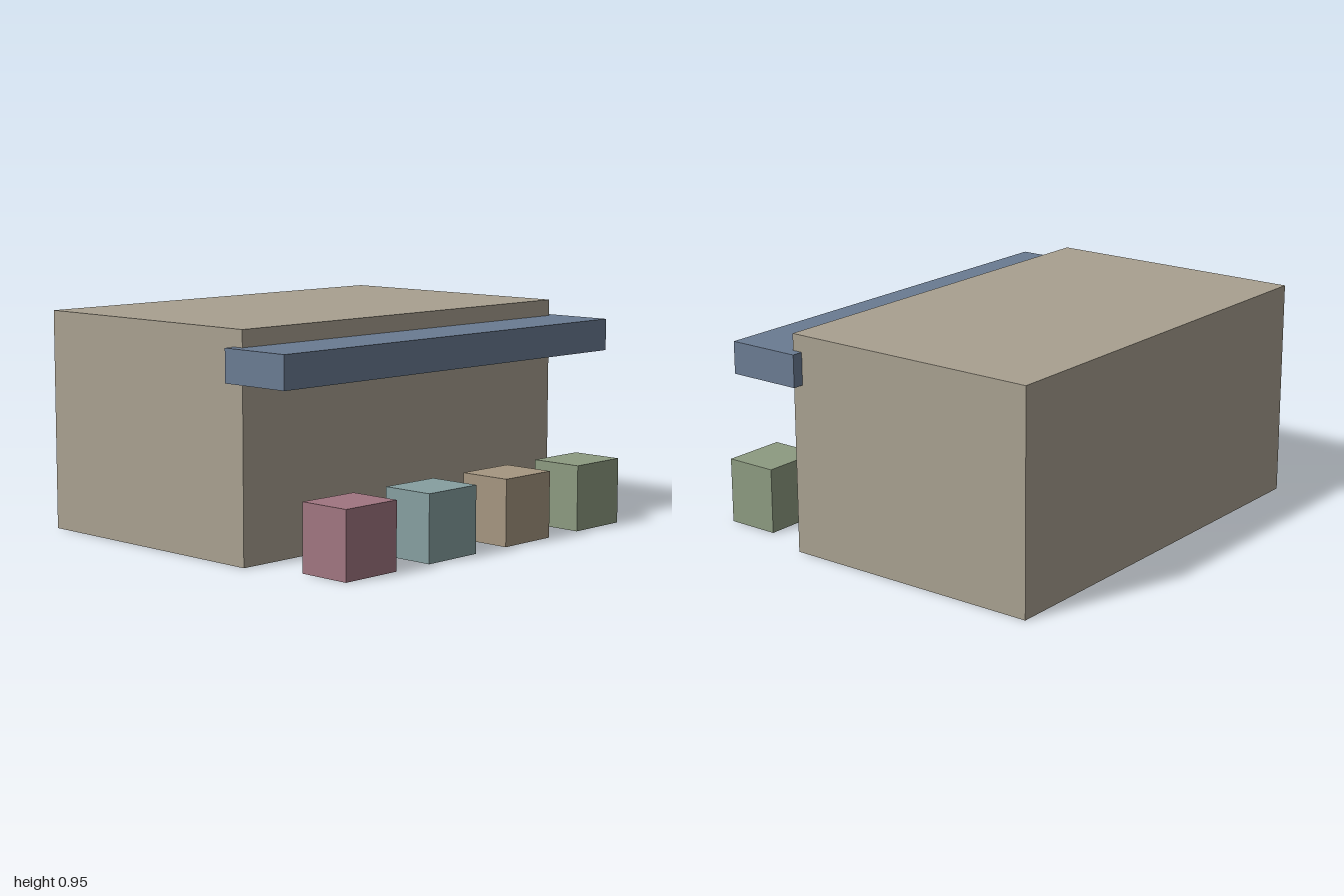
import * as THREE from 'three';

// Box given by its minimum and maximum corners
function block(name, color, min, max) {
  const size = max.map((v, i) => v - min[i]);
  const mesh = new THREE.Mesh(
    new THREE.BoxGeometry(...size),
    new THREE.MeshStandardMaterial({ color })
  );
  mesh.position.set(...min.map((v, i) => v + size[i] / 2));
  mesh.name = name;
  return mesh;
}

export function createModel() {
  const model = new THREE.Group();
  model.name = 'marketStall';

  // Main building volume
  model.add(block('building', 0xa8a090, [-0.95, 0, -0.832], [0.95, 0.952, 0.356]));

  // Awning, slightly wider than the building and let into its front wall
  model.add(block('awning', 0x6a7b92, [-1, 0.74, 0.309], [1, 0.88, 0.643]));

  // Row of goods crates standing in front
  const crates = new THREE.Group();
  crates.name = 'crates';
  const colors = [0xa07580, 0x869fa0, 0xa59680, 0x8c9a80];
  const half = 0.143;
  colors.forEach((color, i) => {
    const x = (i - 1.5) * 0.476;
    crates.add(block(`crate${i + 1}`, color, [x - half, 0, 0.595], [x + half, 0.287, 0.832]));
  });
  model.add(crates);

  return model;
}
